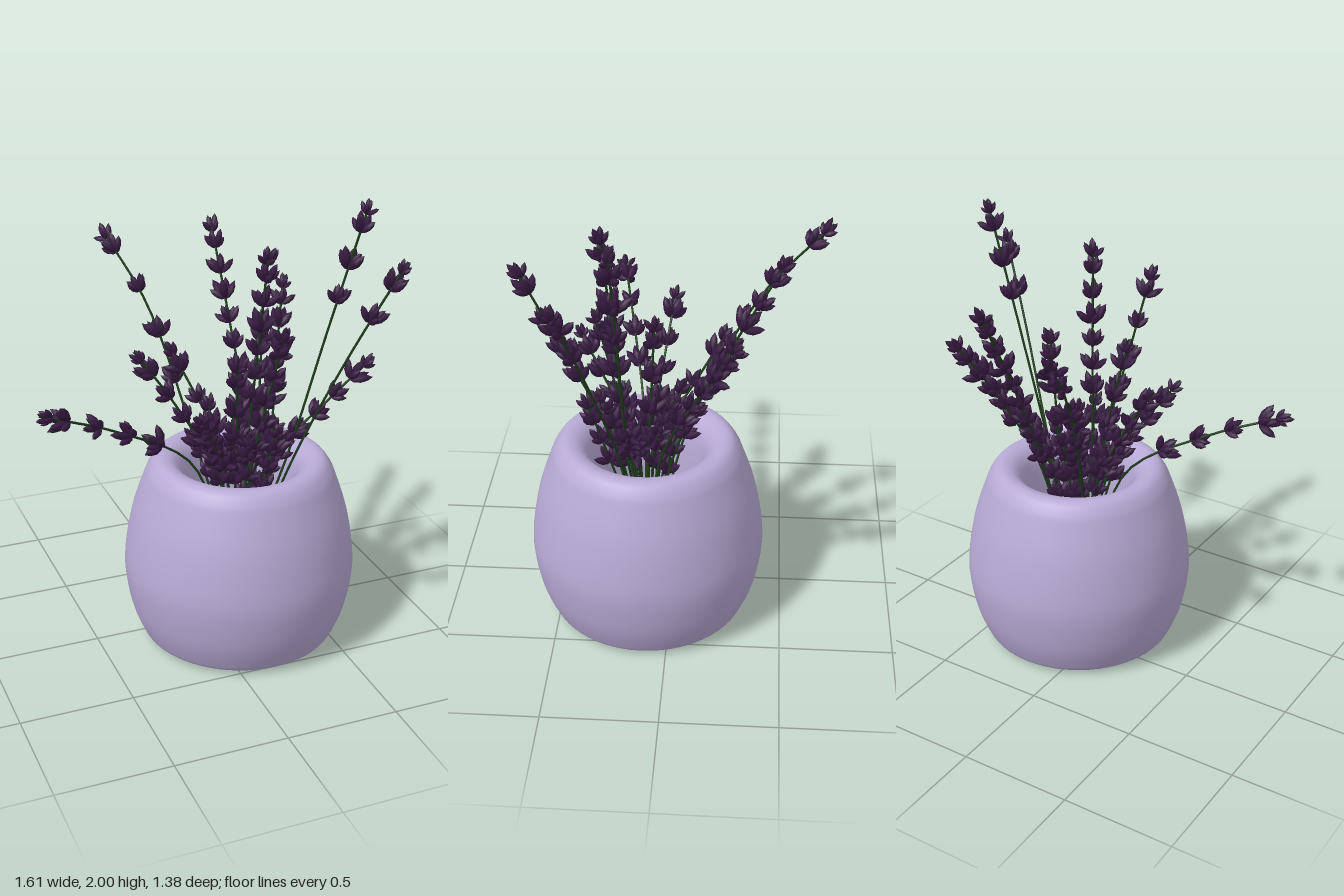
import * as THREE from 'three';
import { mergeGeometries } from 'three/addons/utils/BufferGeometryUtils.js';

const V = (x, y, z) => new THREE.Vector3(x, y, z);
const UP = V(0, 1, 0);
const CX = 0.151, CZ = 0.106; // pot axis
const RIM_Y = 0.88;

// Stems: tip x, y, z, rim crossing x, z, start of the flowers (0-1 above rim), whorl spacing, upward bow
const STEMS = [
  [-0.8, 1.28, 0.285, -0.09, 0.14, 0.1, 0.165, 0.04],
  [-0.22, 1.73, -0.67, 0.01, -0.08, 0.1, 0.22, 0.14],
  [0.24, 1.78, -0.48, 0.25, -0.03, 0.05, 0.115, 0.04],
  [0.53, 1.53, -0.3, 0.33, 0.03, 0.2, 0.1, 0.04],
  [0.69, 1.99, 0.2, 0.36, 0.17, 0.58, 0.16],
  [0.76, 1.78, 0.42, 0.38, 0.2, 0.7, 0.17, 0.03],
  [0.78, 1.25, 0.13, 0.35, 0.13, 0.05, 0.12],
  [0.1, 1.65, 0.66, 0.13, 0.28, 0.1, 0.15],
  [0.19, 1.86, 0.29, 0.14, 0.2, 0.3, 0.11],
  [0.27, 1.51, 0.06, 0.24, 0.09, 0, 0.16],
  [0.03, 1.42, 0.34, 0.1, 0.2, 0, 0.15],
  [-0.18, 1.23, 0.44, 0.03, 0.22, 0, 0.11],
  [-0.3, 1.38, 0, 0, 0.08, 0.05, 0.13, 0.03],
  [-0.06, 1.3, -0.24, 0.1, 0.02, 0, 0.16],
];
// Short sprigs filling the mouth of the pot
for (let i = 0; i < 13; i++) {
  const a = i * 2.4, r = 0.07 + 0.15 * Math.sqrt(i / 12);
  const x = Math.cos(a) * r, z = Math.sin(a) * r;
  STEMS.push([CX + x * 1.15, 0.98 + 0.04 * (i % 4), CZ + 0.03 + z * 1.15,
    CX + x * 0.8, CZ + 0.03 + z * 0.8, -0.8, 0.11]);
}

// Pointed flower bud growing along +y from the origin, length 1
function budGeometry() {
  const profile = [[0, 0], [0.12, 0.15], [0.2, 0.45], [0.15, 0.75], [0, 1]];
  return new THREE.LatheGeometry(profile.map(p => new THREE.Vector2(...p)), 6);
}

// Cup-shaped whorl: rings of [count, tilt, length, lift, turn] buds
function whorlGeometry(rings) {
  const parts = [];
  for (const [count, tilt, length, lift, turn] of rings) {
    for (let i = 0; i < count; i++) {
      const bud = budGeometry();
      const size = length * (1 + 0.12 * Math.sin(i * 2.6));
      bud.scale(size, size, size).rotateZ(-tilt + 0.15 * Math.cos(i * 2.2));
      parts.push(bud.translate(0.005, lift, 0).rotateY(turn + (i * Math.PI * 2) / count));
    }
  }
  return mergeGeometries(parts);
}

export function createModel() {
  const model = new THREE.Group();
  const potMat = new THREE.MeshStandardMaterial({ color: 0xb8aad5, side: THREE.DoubleSide });
  potMat.name = 'lilac ceramic';
  const stemMat = new THREE.MeshStandardMaterial({ color: 0x1d3c1b });
  stemMat.name = 'dark green';
  const flowerMat = new THREE.MeshStandardMaterial({ color: 0x361a40 });
  flowerMat.name = 'deep purple';

  // Pot: outer belly, rounded rim, inner wall and floor
  const wall = new THREE.SplineCurve([
    [0.37, 0.005], [0.425, 0.018], [0.452, 0.06], [0.492, 0.17], [0.517, 0.33], [0.509, 0.46],
    [0.478, 0.62], [0.428, 0.77], [0.406, 0.82], [0.375, 0.857], [0.335, 0.865], [0.29, 0.845],
    [0.255, 0.79], [0.237, 0.68], [0.23, 0.5], [0.23, 0.3],
  ].map(p => new THREE.Vector2(...p))).getPoints(60);
  const profile = [new THREE.Vector2(0, 0), new THREE.Vector2(0.33, 0), ...wall,
    new THREE.Vector2(0.2, 0.25), new THREE.Vector2(0, 0.25)];
  const pot = new THREE.Mesh(new THREE.LatheGeometry(profile, 64), potMat);
  pot.name = 'pot';
  pot.position.set(CX, 0, CZ);
  model.add(pot);

  // Flower stems with whorls along their upper part and a slim one at the tip
  const sideWhorl = whorlGeometry([[4, 0.75, 0.085, -0.035, 0], [3, 0.32, 0.09, -0.03, 0.6]]);
  const tipWhorl = whorlGeometry([[4, 0.7, 0.06, -0.02, 0], [2, 0.2, 0.065, -0.01, 0.6]]);
  STEMS.forEach(([x, y, z, rimX, rimZ, start, spacing, bow = 0.01], n) => {
    const sprig = new THREE.Group();
    sprig.name = 'flowerStem' + (n + 1);
    const tip = V(x, y, z), rim = V(rimX, RIM_Y, rimZ);
    const base = V(CX, 0.45, CZ).lerp(V(rimX, 0.45, rimZ), 0.35);
    const mid = rim.clone().lerp(tip, 0.5).addScaledVector(UP, bow);
    const curve = new THREE.CatmullRomCurve3([base, rim, mid, tip]);
    const length = curve.getLength();
    const rimLength = base.distanceTo(rim);

    const stem = new THREE.Mesh(new THREE.TubeGeometry(curve, 16, 0.0055, 5), stemMat);
    stem.name = 'stem';
    sprig.add(stem);

    const first = rimLength + (length - rimLength) * start;
    const parts = [];
    for (let s = length - 0.045, i = 0; s > first; s -= i ? spacing : 0.065, i++) {
      const u = s / length;
      const size = 0.98 + 0.1 * Math.sin(i * 2.1 + n);
      const turn = new THREE.Quaternion().setFromAxisAngle(UP, i * 1.3 + n);
      const lean = new THREE.Quaternion().setFromUnitVectors(UP, curve.getTangentAt(u));
      parts.push((i ? sideWhorl : tipWhorl).clone().applyMatrix4(new THREE.Matrix4().compose(
        curve.getPointAt(u), lean.multiply(turn), V(size, size, size))));
    }
    const flowers = new THREE.Mesh(mergeGeometries(parts), flowerMat);
    flowers.name = 'flowers';
    sprig.add(flowers);
    model.add(sprig);
  });
  return model;
}
